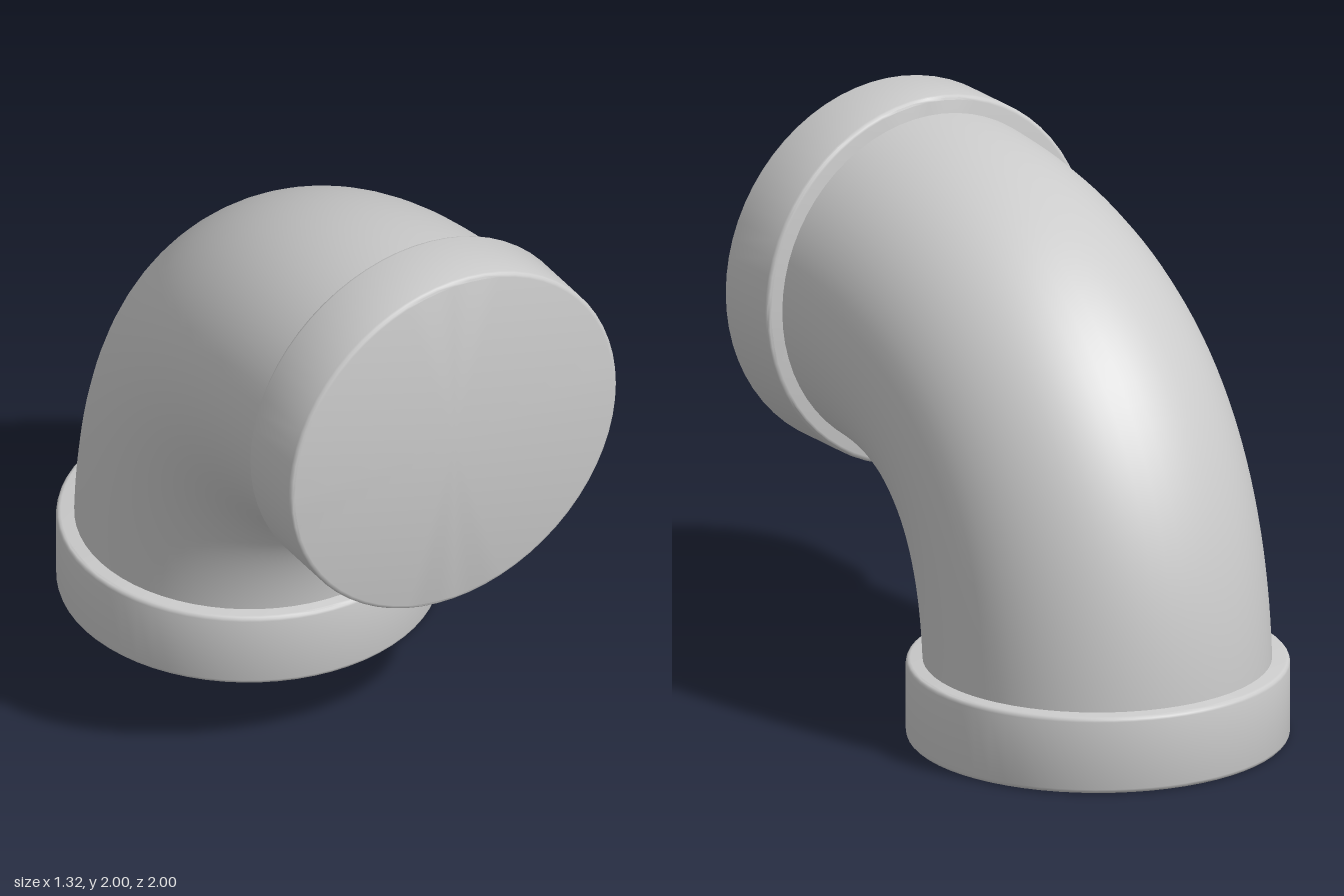
import * as THREE from 'three';
import { toCreasedNormals } from 'three/addons/utils/BufferGeometryUtils.js';

const PIPE_R = 0.6, COLLAR_R = 0.66, COLLAR_H = 0.275, BEVEL = 0.016;
const AXIS = 0.34; // bottom collar sits at z = -AXIS, front collar at y = 1 + AXIS

const material = new THREE.MeshStandardMaterial({ color: 0xcccccc });

// Solid disc with softly rounded rims, standing on y = 0
function collar(name) {
  const profile = [new THREE.Vector2(0, 0)];
  for (const [cy, start] of [[BEVEL, -Math.PI / 2], [COLLAR_H - BEVEL, 0]]) {
    for (let i = 0; i <= 3; i++) {
      const a = start + (i / 3) * Math.PI / 2;
      profile.push(new THREE.Vector2(COLLAR_R - BEVEL + BEVEL * Math.cos(a), cy + BEVEL * Math.sin(a)));
    }
  }
  profile.push(new THREE.Vector2(0, COLLAR_H));
  const geometry = toCreasedNormals(new THREE.LatheGeometry(profile, 64), 0.6);
  const mesh = new THREE.Mesh(geometry, material);
  mesh.name = name;
  return mesh;
}

export function createModel() {
  const group = new THREE.Group();
  group.name = 'pipeElbow';

  // Bent pipe, its ends hidden halfway inside the collars
  const inset = COLLAR_H / 2;
  const path = new THREE.QuadraticBezierCurve3(
    new THREE.Vector3(0, inset, -AXIS),
    new THREE.Vector3(0, 1 + AXIS, -AXIS),
    new THREE.Vector3(0, 1 + AXIS, 1 - inset)
  );
  const bend = new THREE.Mesh(new THREE.TubeGeometry(path, 40, PIPE_R, 64), material);
  bend.name = 'bend';
  group.add(bend);

  // Collar on the ground
  const bottomCollar = collar('bottomCollar');
  bottomCollar.position.z = -AXIS;
  group.add(bottomCollar);

  // Collar facing forward
  const frontCollar = collar('frontCollar');
  frontCollar.rotation.x = Math.PI / 2;
  frontCollar.position.set(0, 1 + AXIS, 1 - COLLAR_H);
  group.add(frontCollar);

  return group;
}
